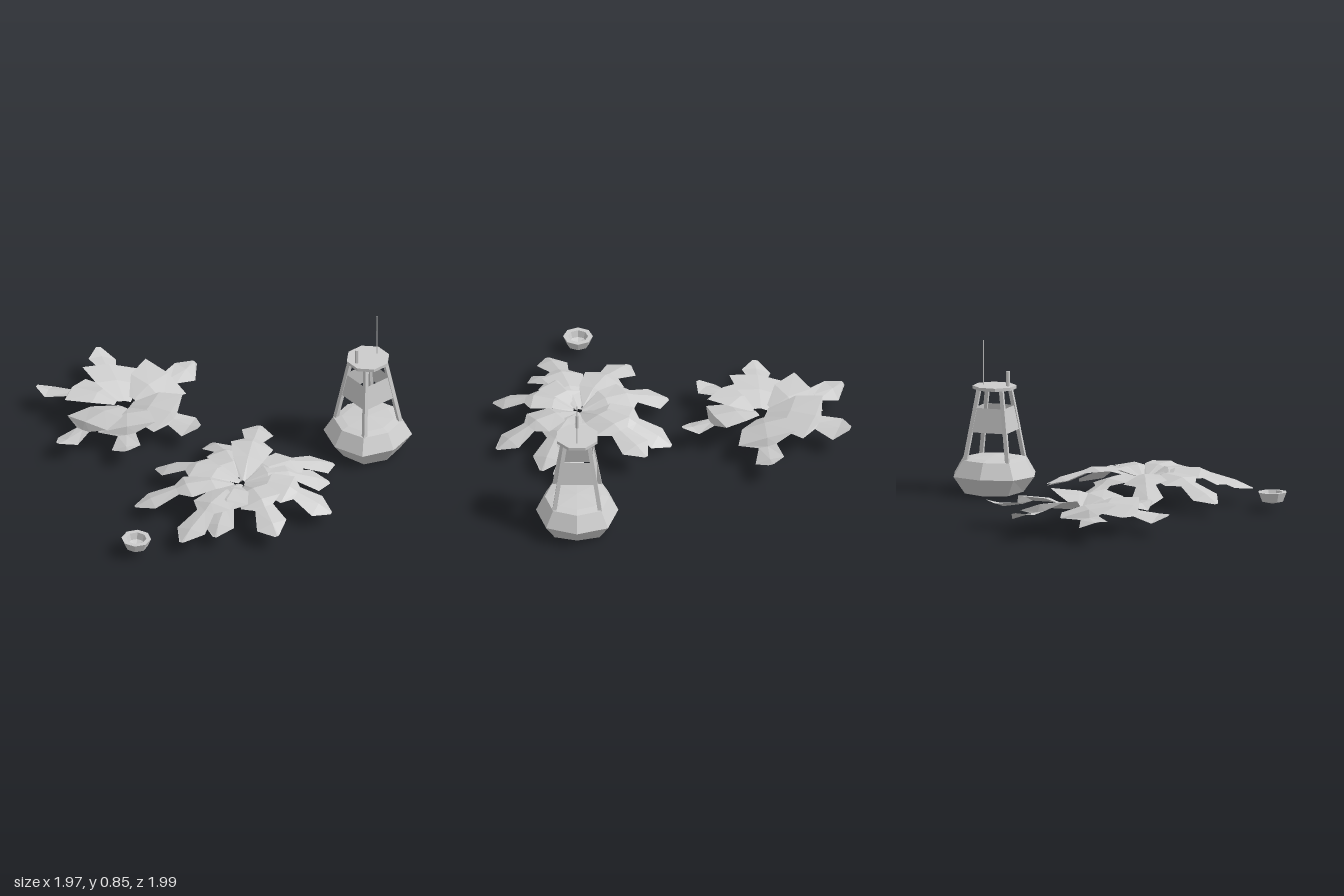
import * as THREE from 'three';

const solid = new THREE.MeshStandardMaterial({ color: 0xcccccc, flatShading: true });
const thin = new THREE.MeshStandardMaterial({ color: 0xcccccc, flatShading: true, side: THREE.DoubleSide });

function add(parent, name, geometry, material = solid) {
  const mesh = new THREE.Mesh(geometry, material);
  mesh.name = name;
  parent.add(mesh);
  return mesh;
}

const lathe = (profile, sides) =>
  new THREE.LatheGeometry(profile.map(([r, y]) => new THREE.Vector2(r, y)), sides);

// Square bar between two points
function bar(parent, name, from, to, size) {
  const a = new THREE.Vector3(...from), b = new THREE.Vector3(...to);
  const mesh = add(parent, name, new THREE.BoxGeometry(size, a.distanceTo(b), size));
  mesh.position.copy(a).add(b).multiplyScalar(0.5);
  mesh.quaternion.setFromUnitVectors(new THREE.Vector3(0, 1, 0), b.sub(a).normalize());
  return mesh;
}

function buildBuoy() {
  const buoy = new THREE.Group();
  buoy.name = 'buoy';

  // Open-bottomed eight-sided float: diagonal corners wider, rim lower at front and back
  const hull = lathe([[0.172, 0.012], [0.237, 0.1], [0.185, 0.19], [0.14, 0.2], [0, 0.21]], 8);
  const p = hull.attributes.position;
  for (let i = 0; i < p.count; i++) {
    const x = p.getX(i), z = p.getZ(i);
    const wide = Math.min(Math.abs(x), Math.abs(z)) > 0.01 ? 1.06 : 1;
    if (p.getY(i) < 0.05) p.setY(i, 0.012 - 0.012 * Math.abs(z) / 0.172);
    p.setX(i, x * wide);
    p.setZ(i, z * wide * 0.965);
  }
  add(buoy, 'floatHull', hull, thin);

  // Leaning legs
  for (const sx of [-1, 1])
    for (const sz of [-1, 1])
      bar(buoy, 'towerLeg', [sx * 0.127, 0.18, sz * 0.127], [sx * 0.066, 0.59, sz * 0.066], 0.022);

  // Four tapered side panels
  const panels = add(buoy, 'towerPanels',
    new THREE.CylinderGeometry(0.088 * Math.SQRT2, 0.11 * Math.SQRT2, 0.135, 4, 1, true), thin);
  panels.rotation.y = Math.PI / 4;
  panels.position.y = 0.415;

  // Top plate with lamp post and aerial
  const plate = add(buoy, 'topPlate', new THREE.CylinderGeometry(0.122, 0.122, 0.018, 8));
  plate.rotation.y = Math.PI / 8;
  plate.position.y = 0.592;
  const lamp = add(buoy, 'lampPost', new THREE.CylinderGeometry(0.01, 0.01, 0.09, 6));
  lamp.position.set(-0.08, 0.64, 0);
  const aerial = add(buoy, 'aerial', new THREE.CylinderGeometry(0.003, 0.004, 0.26, 5));
  aerial.position.set(0.066, 0.722, 0);

  buoy.position.set(0.748, 0, 0.525);
  return buoy;
}

function buildFloatCup() {
  // Rounded outside, flat rim and hollow inside
  const cup = new THREE.Group();
  cup.name = 'floatCup';
  add(cup, 'cupShell', lathe([[0, 0.035], [0.062, 0.05], [0.083, 0.102], [0.056, 0.102], [0.045, 0.065], [0, 0.048]], 8));
  cup.position.set(-0.905, 0, 0.525);
  return cup;
}

// Folded leaf: cross-sections [distance, height, half width, edge drop] with a raised midrib
function leafGeometry(sections, { angle, length, skew = 0, tilt = 0, lift = 0, start = 0 }) {
  const a = THREE.MathUtils.degToRad(angle), c = Math.cos(a), s = Math.sin(a);
  const full = sections[sections.length - 1][0];
  const points = [], index = [];
  sections.forEach(([u, y, half, drop], i) => {
    const r = u * length / full + (i === 0 ? start : 0), t = u / full;
    for (const k of [-1, 0, 1]) {
      const v = k * half + skew * t * t;
      const edge = r - Math.abs(k) * half * 0.1;
      points.push(c * edge - s * v, y - Math.abs(k) * drop + tilt * k * half + lift * t, s * edge + c * v);
    }
    if (i === 0) return;
    for (const j of [0, 1]) {
      const q = (i - 1) * 3 + j;
      index.push(q, q + 1, q + 3, q + 1, q + 4, q + 3);
    }
  });
  const g = new THREE.BufferGeometry();
  g.setAttribute('position', new THREE.Float32BufferAttribute(points, 3));
  g.setIndex(index);
  g.computeVertexNormals();
  return g;
}

function buildPlant(name, x, z, sections, leaves) {
  const plant = new THREE.Group();
  plant.name = name;
  leaves.forEach((leaf) => add(plant, 'leaf', leafGeometry(sections, leaf), thin));
  plant.position.set(x, 0, z);
  return plant;
}

export function createModel() {
  const model = new THREE.Group();
  model.name = 'buoyAndPlants';
  model.add(buildBuoy(), buildFloatCup());

  // Wide drooping plant
  model.add(buildPlant('frontPlant', -0.14, 0.515, [
    [0.015, 0.14, 0.015, 0.005], [0.16, 0.185, 0.085, 0.015], [0.29, 0.18, 0.12, 0.025],
    [0.34, 0.155, 0.055, 0.01], [0.47, 0.11, 0.09, 0.02], [0.55, 0.065, 0.012, 0]
  ], [
    { angle: -113, length: 0.54, skew: -0.01, tilt: -0.1 },
    { angle: -70, length: 0.55, skew: 0.015, tilt: -0.1, lift: -0.02, start: 0.04 },
    { angle: -39, length: 0.57, skew: -0.02, tilt: -0.1, lift: 0.07 },
    { angle: 4, length: 0.6, skew: 0.03, tilt: -0.1, lift: -0.02, start: 0.03 },
    { angle: 27, length: 0.5, skew: -0.02, tilt: -0.1, lift: -0.01 },
    { angle: 58, length: 0.53, skew: 0.02, tilt: -0.1 },
    { angle: 104, length: 0.5, skew: 0.02, tilt: -0.15, lift: 0.03, start: 0.02 },
    { angle: 150, length: 0.48, skew: -0.02, tilt: -0.1, lift: 0.02, start: 0.03 },
    { angle: 161, length: 0.61, skew: 0.02, tilt: -0.1, lift: 0.02 },
    { angle: 206, length: 0.61, skew: 0.01, tilt: -0.1, start: 0.03 }
  ]));

  // Compact plant: overlapping pinwheel leaves with upturned tips
  model.add(buildPlant('backPlant', -0.15, -0.495, [
    [0.03, 0.13, 0.035, 0.005], [0.17, 0.17, 0.125, 0.015], [0.32, 0.17, 0.16, 0.015],
    [0.34, 0.125, 0.05, 0], [0.46, 0.12, 0.08, 0.015], [0.53, 0.13, 0.015, 0]
  ], [
    { angle: -70, length: 0.535, skew: 0.02, tilt: -0.25, lift: 0.03 },
    { angle: -6, length: 0.54, skew: 0, tilt: -0.25, lift: 0.02, start: 0.03 },
    { angle: 69, length: 0.47, skew: 0, tilt: -0.2, lift: 0.01 },
    { angle: 127, length: 0.46, skew: 0.02, tilt: -0.2, start: 0.02 },
    { angle: 176, length: 0.52, skew: 0, tilt: -0.2, lift: -0.02 },
    { angle: -120, length: 0.53, skew: -0.01, tilt: -0.2, start: 0.03 }
  ]));

  return model;
}
